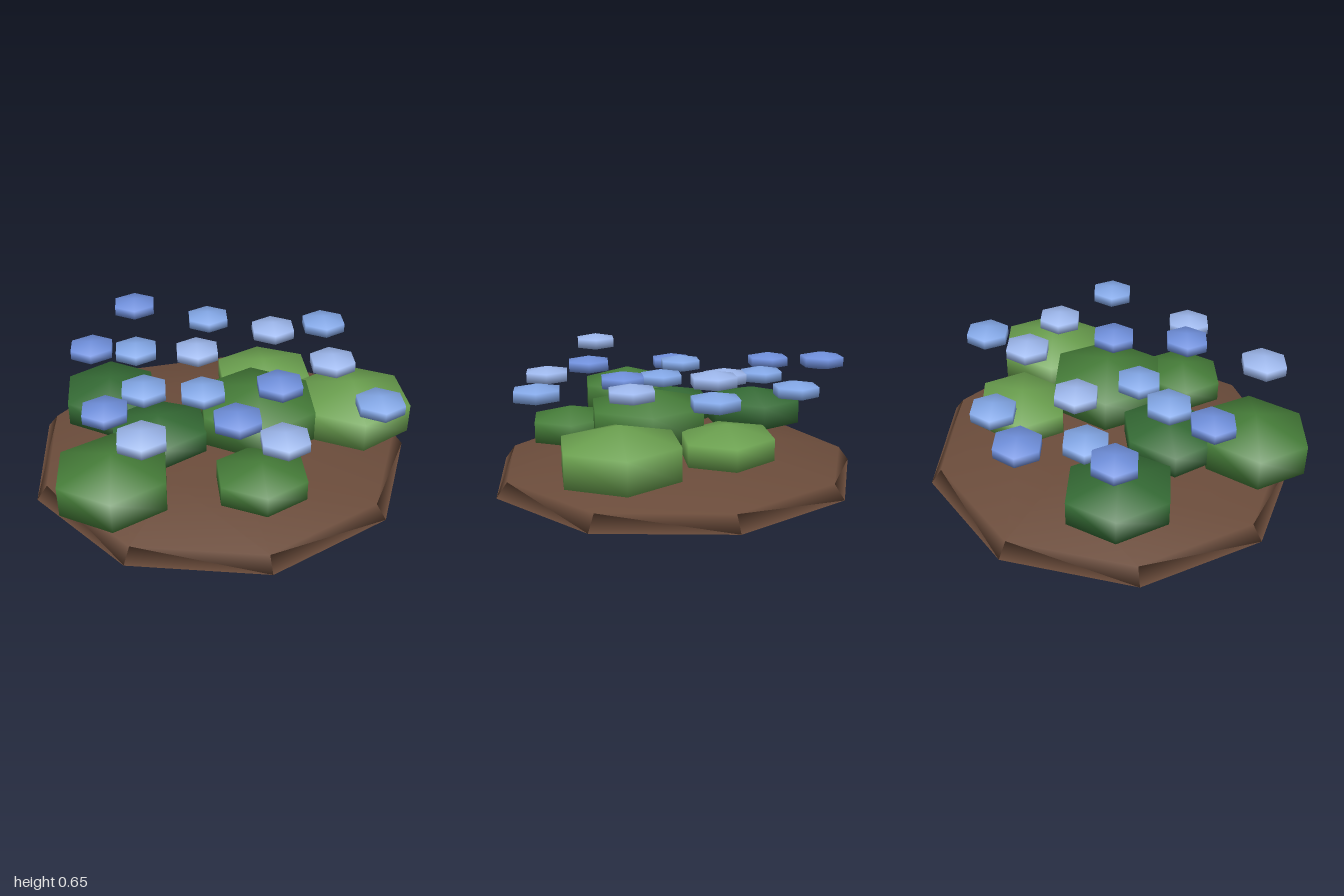
import * as THREE from 'three';

const mat = (color, doubleSided = false) =>
  new THREE.MeshStandardMaterial({ color, side: doubleSided ? THREE.DoubleSide : THREE.FrontSide });

// Six-sided pebble with two rings, points along z, half extents of 1
function pebbleGeometry() {
  const g = new THREE.SphereGeometry(1, 6, 3);
  g.rotateY(Math.PI / 2);
  g.scale(1 / 0.75, 1, 1 / 0.866);
  return g;
}

export function createModel() {
  const group = new THREE.Group();
  group.name = 'flowerBed';

  // Soil: closed nine-sided mound with a flat bottom
  const profile = [[0, 0], [1.031, 0], [0.972, 0.075], [0.53, 0.155], [0, 0.18]]
    .map(([r, y]) => new THREE.Vector2(r, y));
  const soil = new THREE.Mesh(new THREE.LatheGeometry(profile, 9, Math.PI / 2), mat(0x6b4c3b, true));
  soil.name = 'soilMound';
  soil.scale.z = 0.95;
  soil.position.x = -0.031;
  group.add(soil);

  const pebble = pebbleGeometry();
  const place = (name, material, x, y, z, hx, hy, hz, yaw = 0) => {
    const m = new THREE.Mesh(pebble, material);
    m.name = name;
    m.position.set(x, y, z);
    m.scale.set(hx, hy, hz);
    m.rotation.y = yaw;
    group.add(m);
  };

  // Bushes: shade, centre x y z, half sizes x y z, yaw
  const greens = [0x356b35, 0x467d39, 0x6ba04f].map((c) => mat(c));
  [
    [1, 0.16, 0.315, 0.08, 0.285, 0.165, 0.315, 0],
    [1, -0.585, 0.265, 0.54, 0.255, 0.165, 0.28, 0],
    [2, 0.69, 0.26, -0.015, 0.28, 0.16, 0.305, 0.04],
    [2, 0.25, 0.245, -0.39, 0.245, 0.11, 0.24, 0.04],
    [0, -0.62, 0.23, -0.25, 0.23, 0.13, 0.285, 0.03],
    [0, -0.36, 0.265, 0.165, 0.235, 0.115, 0.23, 0.08],
    [1, 0.135, 0.23, 0.545, 0.21, 0.11, 0.215, 0.03],
  ].forEach(([shade, ...dims], i) => place(`bush${i + 1}`, greens[shade], ...dims));

  // Blossoms hovering over the bushes: shade, x, y, z
  const blues = [0x7090dc, 0x83a7e6, 0x9db7ec].map((c) => mat(c));
  [
    [0, -0.475, 0.57, -0.69], [1, -0.05, 0.485, -0.655], [0, -0.71, 0.505, -0.32],
    [1, -0.47, 0.465, -0.35], [1, 0.595, 0.54, -0.445], [2, 0.29, 0.575, -0.33],
    [2, -0.135, 0.505, -0.245], [2, 0.57, 0.54, -0.02], [1, -0.425, 0.505, 0.125],
    [1, -0.125, 0.475, 0.12], [0, 0.265, 0.53, 0.17], [0, -0.62, 0.475, 0.26],
    [0, 0.02, 0.55, 0.49], [1, 0.73, 0.54, 0.395], [2, 0.23, 0.52, 0.63],
    [2, -0.43, 0.6, 0.675],
  ].forEach(([shade, x, y, z], i) => place(`blossom${i + 1}`, blues[shade], x, y, z, 0.11, 0.05, 0.12));

  return group;
}
